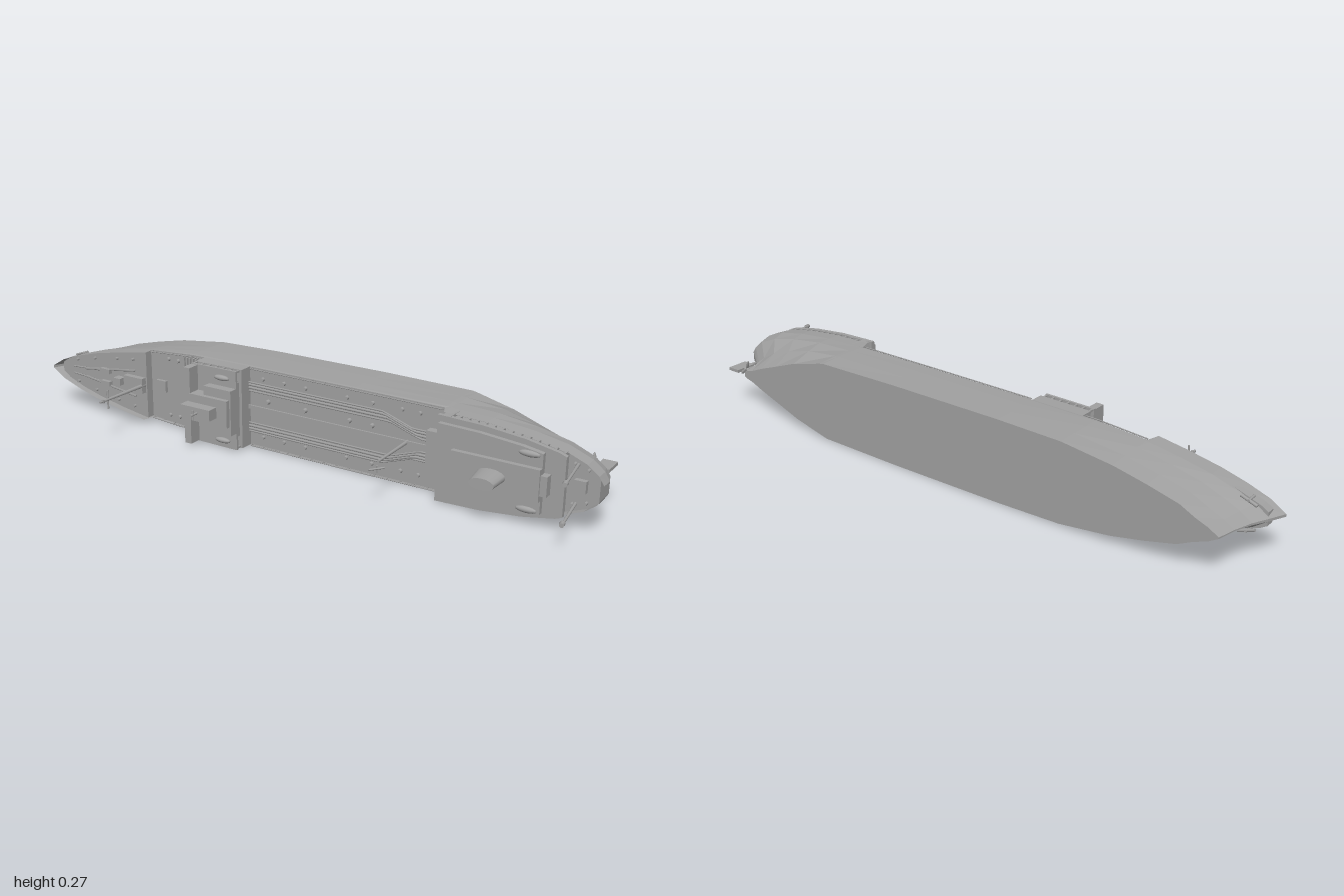
import * as THREE from 'three';

// The ship lies with its deck facing +z, bow at -x, beam along y.
const grey = new THREE.MeshStandardMaterial({ color: 0xa0a0a0 });
grey.name = 'ship grey';
const shell = new THREE.MeshStandardMaterial({ color: 0xa0a0a0, side: THREE.DoubleSide });
shell.name = 'hull grey';

// Hull stations along x and half beams at five heights, keel to rail
const stations = [-1, -.95, -.88, -.8, -.7, -.6, -.59, -.42, -.2, .2, .5, .515, .65, .78, .88, .95, .985, 1];
const beams = [
  [.002, .02, .036, .06, .085, .106, .108, .129, .134, .135, .131, .128, .098, .065, .04, .02, .014, .008],
  [.002, .022, .042, .066, .09, .11, .112, .131, .135, .136, .134, .133, .12, .095, .07, .04, .02, .008],
  [.003, .027, .05, .074, .097, .115, .117, .132, .135, .136, .135, .134, .129, .112, .09, .062, .036, .015],
  [.004, .035, .06, .082, .102, .118, .119, .132, .134, .135, .135, .134, .13, .117, .098, .07, .043, .018],
  [.004, .035, .06, .082, .102, .118, .119, .131, .133, .134, .133, .133, .129, .116, .097, .069, .042, .018],
];
const bowX = [-.92, -.932, -.952, -.975, -1];
const sternX = [.88, .9, .985, 1, 1];

function hullPoint(i, j, side) {
  let x = stations[i];
  if (x < -.8) x = -.8 + (x + .8) * (bowX[j] + .8) / -.2;
  else if (x > .6) x = .6 + (x - .6) * (sternX[j] - .6) / .4;
  const top = stations[i] <= -.6 ? .016 - (stations[i] + .6) * .01 : stations[i] > .51 ? .008 : -.028;
  const z = [-.207 - .007 * x, -.14, -.08, -.035, top][j];
  return [x, side * beams[j][i], z];
}

function hullGeometry() {
  const pos = [];
  const ring = i => [4, 3, 2, 1, 0].map(j => hullPoint(i, j, 1)).concat([0, 1, 2, 3, 4].map(j => hullPoint(i, j, -1)));
  const rings = stations.map((_, i) => ring(i));
  const quad = (a, b, c, d) => pos.push(...a, ...b, ...c, ...a, ...c, ...d);
  for (let i = 0; i < rings.length - 1; i++)
    for (let j = 0; j < 9; j++) quad(rings[i][j], rings[i + 1][j], rings[i + 1][j + 1], rings[i][j + 1]);
  const bow = rings[0], stern = rings[rings.length - 1];
  for (let j = 0; j < 4; j++) {
    quad(bow[j], bow[j + 1], bow[8 - j], bow[9 - j]);
    quad(stern[9 - j], stern[8 - j], stern[j + 1], stern[j]);
  }
  const g = new THREE.BufferGeometry();
  g.setAttribute('position', new THREE.Float32BufferAttribute(pos, 3));
  g.computeVertexNormals();
  return g;
}

// Half beam of the deck at any x
function halfBeam(x) {
  const i = Math.max(1, stations.findIndex(s => s >= x));
  const t = (x - stations[i - 1]) / (stations[i] - stations[i - 1]);
  return THREE.MathUtils.lerp(beams[4][i - 1], beams[4][i], t);
}

export function createModel() {
  const root = new THREE.Group();
  root.name = 'cargoShip';
  const ship = new THREE.Group();
  ship.name = 'ship';
  ship.position.y = .136;
  root.add(ship);

  const add = (name, geo, mat = grey) => {
    const m = new THREE.Mesh(geo, mat);
    m.name = name;
    ship.add(m);
    return m;
  };
  // Box given by its limits
  const box = (name, x0, x1, y0, y1, z0, z1) => {
    const m = add(name, new THREE.BoxGeometry(x1 - x0, y1 - y0, z1 - z0));
    m.position.set((x0 + x1) / 2, (y0 + y1) / 2, (z0 + z1) / 2);
    return m;
  };
  // Cylinder between two points
  const rod = (name, a, b, r0, r1 = r0, sides = 8) => {
    const p = new THREE.Vector3(...a), q = new THREE.Vector3(...b), d = q.clone().sub(p);
    const m = add(name, new THREE.CylinderGeometry(r1, r0, d.length(), sides));
    m.position.copy(p).add(q).multiplyScalar(.5);
    m.quaternion.setFromUnitVectors(new THREE.Vector3(0, 1, 0), d.normalize());
    return m;
  };
  const extrude = (name, pts, z0, z1) => {
    const g = new THREE.ExtrudeGeometry(new THREE.Shape(pts.map(p => new THREE.Vector2(...p))), { depth: z1 - z0, bevelEnabled: false });
    g.translate(0, 0, z0);
    return add(name, g);
  };
  // Plate that follows the hull outline
  const plate = (name, x0, x1, z0, z1, k = .985) => {
    const xs = [x0, ...stations.filter(x => x > x0 && x < x1), x1];
    const pts = xs.map(x => [x, -halfBeam(x) * k]).concat(xs.reverse().map(x => [x, halfBeam(x) * k]));
    return extrude(name, pts, z0, z1);
  };

  // Hull and decks
  add('hull', hullGeometry(), shell);
  plate('forecastleDeck', -.972, -.595, -.03, -.002, .97);
  plate('mainDeck', -.6, .52, -.05, -.031);
  plate('sternDeck', .51, .985, -.04, -.008, .97);

  // Rails along the main deck
  for (const s of [1, -1]) for (const [a, b] of [[-.585, -.375], [-.18, .5]]) {
    const n = Math.round((b - a) / .045);
    for (let i = 0; i < n; i++) {
      const x = a + (b - a) * i / n, x2 = a + (b - a) * (i + 1) / n;
      const y = s * halfBeam(x) * .975, y2 = s * halfBeam(x2) * .975;
      rod('railPost', [x, y, -.032], [x, y, -.016], .0015, .0015, 5);
      rod('rail', [x, y, -.017], [x2, y2, -.017], .002, .002, 5);
    }
  }

  // Forecastle: breakwater, windlass, hatch, bollards
  for (const s of [1, -1]) {
    rod('breakwater', [-.86, s * .014, .004], [-.64, s * .045, .004], .004, .004, 4);
    box('windlass', -.79, -.75, s * .022 - .008, s * .022 + .008, -.004, .012);
    rod('anchorChain', [-.92, s * .012, .001], [-.79, s * .02, .003], .003, .003, 5);
    for (const x of [-.9, -.82, -.72, -.65]) rod('bollard', [x, s * halfBeam(x) * .75, -.004], [x, s * halfBeam(x) * .75, .009], .005);
    // Anchors on the bow
    rod('anchorShank', [-.92, s * .048, -.015], [-.92, s * .046, -.05], .004);
    rod('anchorArms', [-.945, s * .036, -.044], [-.895, s * .054, -.044], .005);
  }
  box('mastHouse', -.68, -.6, -.026, .026, -.004, .018);
  box('foreHatch', -.72, -.69, -.012, .012, -.004, .026);
  box('foreLocker', -.57, -.53, -.02, .02, -.032, -.02);

  // Masts and their crossbars
  rod('foremast', [-.605, 0, -.01], [-.61, 0, .215], .007, .004);
  rod('foremastYard', [-.61, -.032, .177], [-.61, .032, .177], .003);
  rod('foremastLight', [-.61, -.006, .2], [-.61, .006, .2], .005);
  rod('midMast', [.38, 0, -.032], [.385, 0, .15], .006, .004);
  rod('midMastYard', [.385, -.034, .155], [.385, -.012, .155], .003);
  rod('midMastBrace', [.37, -.02, .18], [.4, -.02, .14], .003);
  for (const s of [1, -1]) {
    rod('sternPole', [.918, s * .058, -.01], [.94, s * .058, .135], .005, .004);
    rod('sternPoleHead', [.938, s * .058, .13], [.941, s * .058, .146], .008, .007);
  }

  // Pipe rack ahead of the bridge
  for (let i = 0; i < 6; i++) {
    const x = -.445 + i * .012;
    box('rackPipe', x - .003, x + .003, -.122, .122, -.032, -.014);
  }

  // Bridge island with an open gallery
  plate('bridgeBase', -.37, -.19, -.035, .016, .99);
  plate('bridgeDeck', -.37, -.195, .032, .04, .99);
  box('bridgeCore', -.362, -.2, -.09, .09, .01, .036);
  for (const s of [1, -1]) for (let i = 0; i < 7; i++) {
    const x = -.365 + i * .0275;
    box('galleryPost', x - .003, x + .003, s * .127 - .003, s * .127 + .003, .014, .034);
  }
  box('bridgeFront', -.37, -.345, -.128, .128, .036, .083);
  box('bridgeHouse', -.3, -.195, -.075, .075, .038, .07);
  box('wheelhouse', -.35, -.2, -.045, .045, .038, .085);
  box('bridgeTop', -.355, -.24, -.018, .018, .083, .122);
  rod('radarMast', [-.29, 0, .12], [-.29, 0, .152], .004);
  rod('radarBar', [-.29, -.016, .142], [-.29, .016, .142], .003);

  // Deck pipes, bending inward towards the stern house
  for (const s of [1, -1]) for (const [y, r] of [[.082, .003], [.074, .004], [.064, .004], [.054, .003]]) {
    const path = new THREE.CurvePath();
    const p = [[-.19, y], [.3 + (.08 - y), y], [.4 + (.08 - y), y - .034], [.5, y - .034]].map(q => new THREE.Vector3(q[0], s * q[1], -.024));
    for (let i = 0; i < 3; i++) path.add(new THREE.LineCurve3(p[i], p[i + 1]));
    add('deckPipe', new THREE.TubeGeometry(path, 40, r, 6));
  }
  box('catwalk', -.19, .5, -.006, .006, -.026, -.02);
  box('manifold', .455, .515, -.06, .06, -.032, -.004);

  // Tank lids and vents
  for (const x of [-.52, -.48, -.14, -.06, .02, .17, .26, .36, .42]) for (const s of [1, -1])
    rod('tankLid', [x, s * .098, -.033], [x, s * .098, -.022], .007, .006, 10);
  for (const x of [-.12, .02, .18, .26]) rod('centreLid', [x, .026, -.033], [x, .026, -.018], .008, .007, 10);

  // Stern island: gallery, decks, house, funnel
  plate('sternBase', .52, .89, -.03, .006, .94);
  plate('sternHouseDeck', .51, .9, .022, .036, 1);
  plate('sternHouseCore', .525, .885, .0, .026, .72);
  extrude('sternHouseFront', [[.55, -.133], [.55, .133], [.52, .131], [.508, .07], [.505, 0], [.508, -.07], [.52, -.131]], -.03, .036);
  for (const s of [1, -1]) for (let i = 0; i < 13; i++) {
    const x = .57 + i * .0265, y = s * halfBeam(x) * .97;
    box('sternGalleryPost', x - .003, x + .003, y - .003, y + .003, .004, .025);
  }
  plate('upperHouse', .52, .84, .035, .052, .86);
  box('boatDeckHouse', .57, .84, -.048, .048, .05, .068);
  box('aftDeckHouse', .8, .86, -.03, .03, .035, .062);
  for (const s of [1, -1]) {
    const boat = add('lifeboat', new THREE.SphereGeometry(1, 12, 8));
    boat.scale.set(.034, .01, .01);
    boat.position.set(.8, s * .083, .05);
    const bridgeBoat = add('bridgeBoat', new THREE.SphereGeometry(1, 12, 8));
    bridgeBoat.scale.set(.03, .009, .01);
    bridgeBoat.position.set(-.245, s * .105, .047);
    for (const x of [.91, .95]) rod('sternBollard', [x, s * halfBeam(x) * .7, -.01], [x, s * halfBeam(x) * .7, .006], .005);
  }
  const funnel = rod('funnel', [.695, 0, .06], [.702, 0, .14], .05, .042, 16);
  funnel.scale.z = .4;
  funnel.rotation.set(Math.PI / 2, 0, -.06);
  funnel.scale.set(.9, 1, .42);
  box('sternWinch', .915, .95, -.018, .018, -.01, .008);

  // Propeller and rudder
  rod('propellerShaft', [.86, 0, -.18], [.915, 0, -.18], .007);
  for (let i = 0; i < 4; i++) {
    const a = i * Math.PI / 2;
    const blade = add('propellerBlade', new THREE.SphereGeometry(1, 8, 6));
    blade.scale.set(.003, .016, .007);
    blade.position.set(.903, Math.cos(a) * .017, -.18 + Math.sin(a) * .017);
    blade.rotation.set(a, 0, .25);
  }
  box('rudder', .916, .96, -.005, .005, -.212, -.142);
  rod('rudderStock', [.93, 0, -.145], [.93, 0, -.09], .005);

  return root;
}
